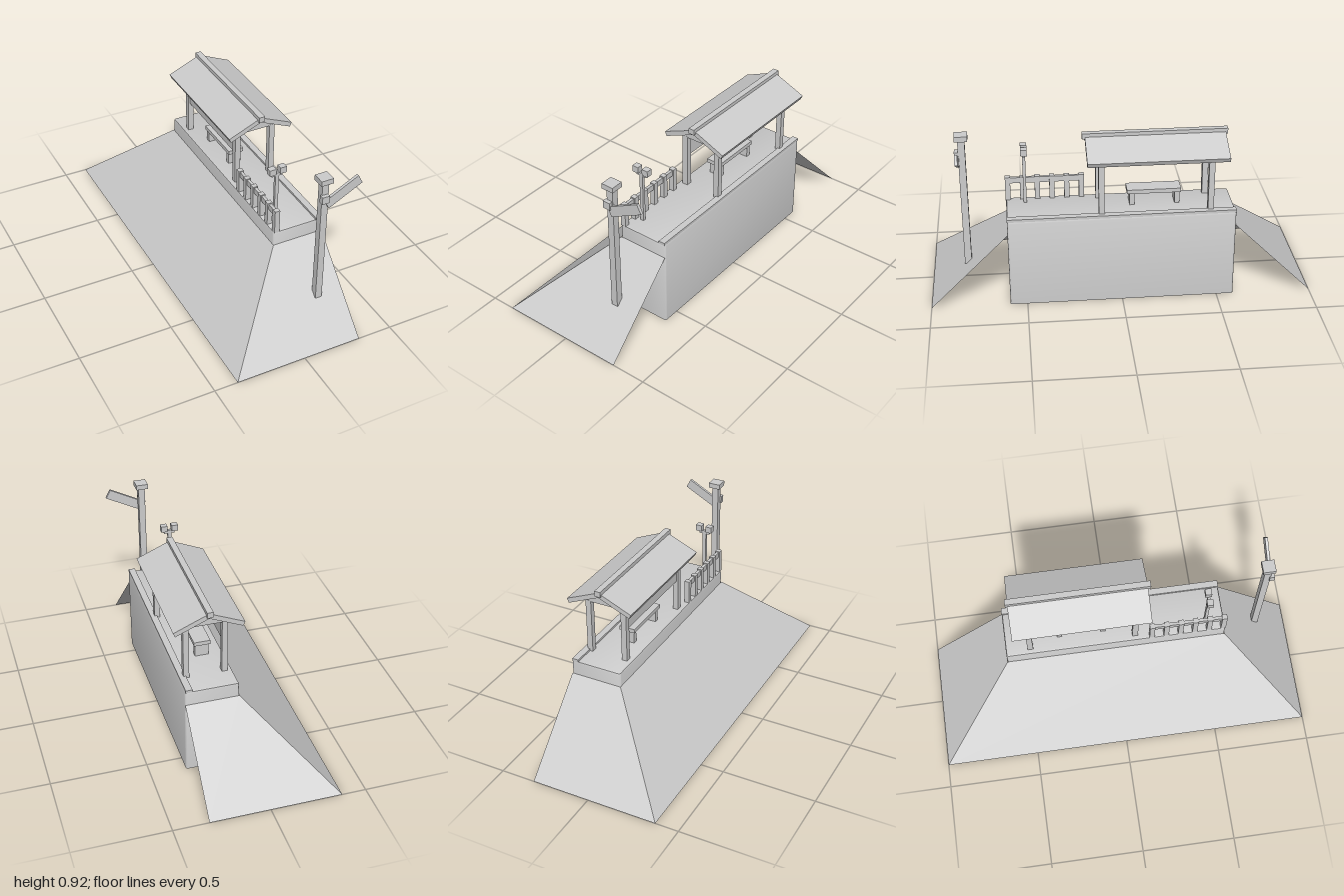
import * as THREE from 'three';
import { toCreasedNormals } from 'three/addons/utils/BufferGeometryUtils.js';

const grey = new THREE.MeshStandardMaterial({ color: 0xcccccc, side: THREE.DoubleSide });
grey.name = 'plain grey';

function add(parent, name, geometry) {
  const mesh = new THREE.Mesh(geometry, grey);
  mesh.name = name;
  parent.add(mesh);
  return mesh;
}

// Box given by its minimum and maximum on each axis
function box(parent, name, [x0, x1], [y0, y1], [z0, z1]) {
  const mesh = add(parent, name, new THREE.BoxGeometry(x1 - x0, y1 - y0, z1 - z0));
  mesh.position.set((x0 + x1) / 2, (y0 + y1) / 2, (z0 + z1) / 2);
  return mesh;
}

function group(parent, name) {
  const g = new THREE.Group();
  g.name = name;
  parent.add(g);
  return g;
}

// Range of a given width around a centre
const around = (c, w) => [c - w / 2, c + w / 2];

function surface(positions, index) {
  const g = new THREE.BufferGeometry();
  g.setAttribute('position', new THREE.Float32BufferAttribute(positions, 3));
  g.setIndex(index);
  const flat = g.toNonIndexed();
  flat.computeVertexNormals();
  return flat;
}

// Open-bottomed block with rounded upright corners and a softened top edge
function platformGeometry() {
  const cx = 0.175, hx = 0.14, hz = 0.59, r = 0.012, steps = 4;
  const rings = [[0, 0], [0, 0.476], [0.0035, 0.4845], [0.011, 0.488]];
  const positions = [], index = [], n = 4 * (steps + 1);
  for (const [inset, y] of rings) {
    for (let c = 0; c < 4; c++) {
      const sx = c === 0 || c === 3 ? 1 : -1, sz = c < 2 ? 1 : -1;
      for (let i = 0; i <= steps; i++) {
        const a = (c + i / steps) * Math.PI / 2;
        positions.push(cx + sx * (hx - r) + (r - inset) * Math.cos(a), y,
          sz * (hz - r) + (r - inset) * Math.sin(a));
      }
    }
  }
  for (let k = 0; k < rings.length - 1; k++) {
    for (let i = 0; i < n; i++) {
      const a = k * n + i, b = k * n + (i + 1) % n;
      index.push(a, a + n, b, b, a + n, b + n);
    }
  }
  const top = (rings.length - 1) * n;
  for (let i = 1; i < n - 1; i++) index.push(top, top + i + 1, top + i);
  return toCreasedNormals(surface(positions, index), 0.7);
}

// Three sloping banks, open beneath and on the track side
function embankmentGeometry() {
  const p = [
    0.315, 0, 1, -0.375, 0, 1, -0.375, 0, -1, 0.315, 0, -1,
    0.315, 0.41, 0.59, 0.035, 0.41, 0.59, 0.035, 0.41, -0.59, 0.315, 0.41, -0.59,
  ];
  const index = [];
  for (let i = 0; i < 3; i++) index.push(i, i + 4, i + 1, i + 1, i + 4, i + 5);
  return surface(p, index);
}

export function createModel() {
  const model = new THREE.Group();
  model.name = 'railwayPlatform';
  const deck = 0.486;

  add(model, 'embankment', embankmentGeometry());
  add(model, 'platform', platformGeometry());
  box(model, 'platformEdge', [0.277, 0.312], [0.484, 0.499], [-0.59, 0.59]);

  // Shelter
  const shelter = group(model, 'shelter');
  for (const z of [0.105, -0.458]) {
    for (const x of [0.075, 0.275]) {
      box(shelter, 'shelterPost', around(x, 0.03), [deck, 0.79], around(z, 0.03));
    }
    box(shelter, 'crossBeam', [0.046, 0.304], [0.784, 0.823], around(z, 0.028));
  }
  box(shelter, 'backPanel', around(0.075, 0.012), [0.662, 0.748], [-0.45, 0.1]);
  const gable = new THREE.Shape([
    [-0.181, 0.814], [-0.171, 0.791], [0, 0.865], [0.171, 0.791], [0.181, 0.814], [0, 0.892],
  ].map(([x, y]) => new THREE.Vector2(x, y)));
  const roof = add(shelter, 'roof',
    new THREE.ExtrudeGeometry(gable, { depth: 0.719, bevelEnabled: false }));
  roof.position.set(0.175, 0, -0.539);
  box(shelter, 'ridgeCap', around(0.173, 0.032), [0.875, 0.905], [-0.55, 0.195]);

  // Bench
  const bench = group(model, 'bench');
  box(bench, 'benchSeat', [0.103, 0.19], [0.554, 0.576], [-0.317, -0.035]);
  for (const z of [-0.062, -0.297]) {
    box(bench, 'benchLeg', [0.11, 0.183], [deck, 0.556], around(z, 0.025));
  }

  // Fence
  const fence = group(model, 'fence');
  for (let i = 0; i < 6; i++) {
    box(fence, 'picket', [0.038, 0.066], [deck, 0.617], around(0.578 - i * 0.077, 0.027));
  }
  box(fence, 'fenceRail', [0.044, 0.06], [0.581, 0.612], [0.195, 0.578]);

  // Lamp post with two heads
  const lamp = group(model, 'lampPost');
  box(lamp, 'lampPole', around(0.096, 0.019), [deck, 0.776], around(0.49, 0.016));
  box(lamp, 'lampCrossbar', [0.067, 0.127], [0.758, 0.775], around(0.49, 0.014));
  for (const x of [0.0675, 0.1265]) {
    box(lamp, 'lampHead', around(x, 0.035), [0.773, 0.807], around(0.49, 0.033));
  }

  // Signal with a raised arm; the pole is hollow at its foot
  const signal = group(model, 'signal');
  const pole = box(signal, 'signalPole', around(0.175, 0.036), [0.188, 0.897], around(0.8, 0.036));
  const faces = Array.from(pole.geometry.index.array);
  faces.splice(18, 6);
  pole.geometry.setIndex(faces);
  pole.geometry.clearGroups();
  box(signal, 'signalCap', around(0.175, 0.066), [0.895, 0.923], around(0.8, 0.066));
  box(signal, 'signalHub', [0.149, 0.189], [0.79, 0.83], [0.812, 0.838]);
  const arm = add(signal, 'signalArm', new THREE.BoxGeometry(0.204, 0.053, 0.015));
  arm.position.set(0.2705, 0.8215, 0.822);
  arm.rotation.z = 0.483;

  return model;
}
